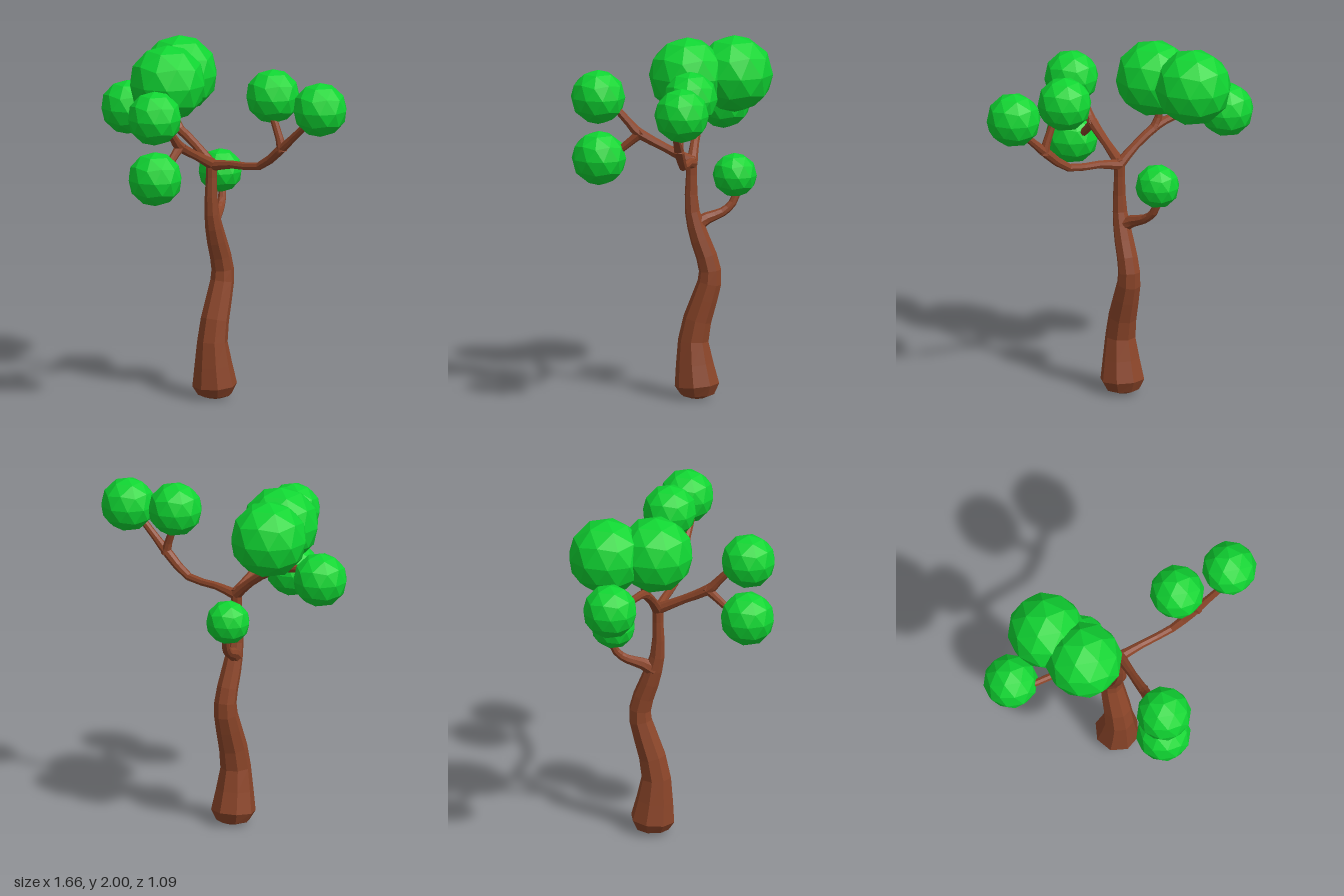
import * as THREE from 'three';

const bark = new THREE.MeshStandardMaterial({ color: 0x8b4529, flatShading: true });
const leaf = new THREE.MeshStandardMaterial({ color: 0x10d532, flatShading: true });

// Octagonal limb through [x, y, z, radius] stations, closed at both ends.
// ref is the direction of the first corner of every ring.
function limb(name, stations, ref, steps = 1) {
  const sides = 8;
  const path = new THREE.CatmullRomCurve3(stations.map(s => new THREE.Vector3(s[0], s[1], s[2])), false, 'catmullrom');
  const radii = new THREE.CatmullRomCurve3(stations.map(s => new THREE.Vector3(s[3], 0, 0)), false, 'catmullrom');
  const n = (stations.length - 1) * steps;
  const pts = [], rad = [];
  for (let i = 0; i <= n; i++) {
    pts.push(path.getPoint(i / n));
    rad.push(radii.getPoint(i / n).x);
  }
  const pos = [], index = [];
  for (let i = 0; i <= n; i++) {
    const t = pts[Math.min(i + 1, n)].clone().sub(pts[Math.max(i - 1, 0)]).normalize();
    const u = ref.clone().addScaledVector(t, -ref.dot(t)).normalize();
    const v = t.clone().cross(u);
    for (let j = 0; j < sides; j++) {
      const a = (j / sides) * Math.PI * 2;
      const p = pts[i].clone()
        .addScaledVector(u, Math.cos(a) * rad[i])
        .addScaledVector(v, Math.sin(a) * rad[i]);
      pos.push(p.x, p.y, p.z);
      if (i < n) {
        const k = (j + 1) % sides, r = i * sides;
        index.push(r + j, r + k, r + sides + k, r + j, r + sides + k, r + sides + j);
      }
    }
  }
  // end caps
  const c = pos.length / 3;
  pos.push(...pts[0].toArray(), ...pts[n].toArray());
  for (let j = 0; j < sides; j++) {
    const k = (j + 1) % sides;
    index.push(c, k, j, c + 1, n * sides + j, n * sides + k);
  }
  const geo = new THREE.BufferGeometry();
  geo.setAttribute('position', new THREE.Float32BufferAttribute(pos, 3));
  geo.setIndex(index);
  geo.computeVertexNormals();
  const mesh = new THREE.Mesh(geo, bark);
  mesh.name = name;
  return mesh;
}

// Faceted ball with one corner pointing straight up
function foliage(x, y, z, r) {
  const geo = new THREE.IcosahedronGeometry(r, 1);
  geo.rotateZ(-Math.atan(2 / (1 + Math.sqrt(5))));
  const mesh = new THREE.Mesh(geo, leaf);
  mesh.position.set(x, y, z);
  mesh.name = 'foliage';
  return mesh;
}

export function createModel() {
  const tree = new THREE.Group();
  tree.name = 'tree';
  const X = new THREE.Vector3(1, 0, 0), Z = new THREE.Vector3(0, 0, 1);

  // S-bent trunk: [y, z, radius]
  const trunk = [
    [0.005, -0.17, 0.04], [0.025, -0.17, 0.095], [0.08, -0.168, 0.126], [0.2, -0.155, 0.106],
    [0.33, -0.147, 0.086], [0.45, -0.17, 0.08], [0.57, -0.21, 0.073], [0.66, -0.238, 0.067],
    [0.73, -0.242, 0.063], [0.81, -0.222, 0.06], [0.9, -0.188, 0.056], [0.98, -0.162, 0.05],
    [1.06, -0.142, 0.042], [1.16, -0.135, 0.036], [1.27, -0.137, 0.031], [1.34, -0.138, 0.032], [1.375, -0.138, 0.02],
  ];
  tree.add(limb('trunk', trunk.map(([y, z, r]) => [-0.04, y, z, r]), X));

  // Left branch with its fork
  const zb = -0.14;
  tree.add(limb('leftBranch', [
    [-0.04, 1.335, zb, 0.032], [0.1, 1.36, zb, 0.023], [0.29, 1.375, zb, 0.023],
    [0.43, 1.48, zb, 0.028], [0.52, 1.56, zb, 0.022], [0.64, 1.67, zb, 0.02]], Z, 2));
  tree.add(limb('leftTwig', [
    [0.45, 1.48, zb, 0.03], [0.435, 1.55, zb, 0.023], [0.38, 1.69, zb, 0.02]], Z, 2));

  // Right branch with its fork
  tree.add(limb('rightBranch', [
    [-0.04, 1.34, zb, 0.032], [-0.14, 1.43, zb, 0.025], [-0.28, 1.525, zb, 0.027],
    [-0.4, 1.56, zb, 0.022], [-0.62, 1.6, zb, 0.02]], Z, 2));
  tree.add(limb('rightTwig', [
    [-0.26, 1.51, zb, 0.028], [-0.29, 1.57, zb, 0.022], [-0.31, 1.68, zb, 0.02]], Z, 2));

  // Front branch with its fork
  tree.add(limb('frontBranch', [
    [-0.04, 1.34, -0.15, 0.034], [-0.04, 1.42, 0.01, 0.025], [-0.04, 1.495, 0.155, 0.03],
    [-0.04, 1.55, 0.21, 0.024], [-0.04, 1.66, 0.31, 0.02]], X, 2));
  tree.add(limb('frontTwig', [
    [-0.04, 1.505, 0.14, 0.03], [-0.04, 1.46, 0.195, 0.024], [-0.04, 1.38, 0.29, 0.02]], X, 2));

  // Low back branch
  tree.add(limb('backBranch', [
    [-0.045, 0.98, -0.16, 0.045], [-0.075, 1.02, -0.22, 0.034], [-0.105, 1.05, -0.3, 0.026],
    [-0.13, 1.1, -0.355, 0.023], [-0.15, 1.19, -0.39, 0.02]], X, 2));

  // Foliage balls
  [
    [-0.405, 1.782, -0.325, 0.218], [-0.3, 1.782, -0.075, 0.218],
    [-0.685, 1.572, -0.22, 0.154], [0.35, 1.775, -0.19, 0.154], [0.68, 1.74, -0.19, 0.154],
    [-0.04, 1.697, 0.39, 0.154], [-0.04, 1.35, 0.385, 0.154], [-0.15, 1.255, -0.365, 0.125],
  ].forEach(b => tree.add(foliage(...b)));

  return tree;
}
